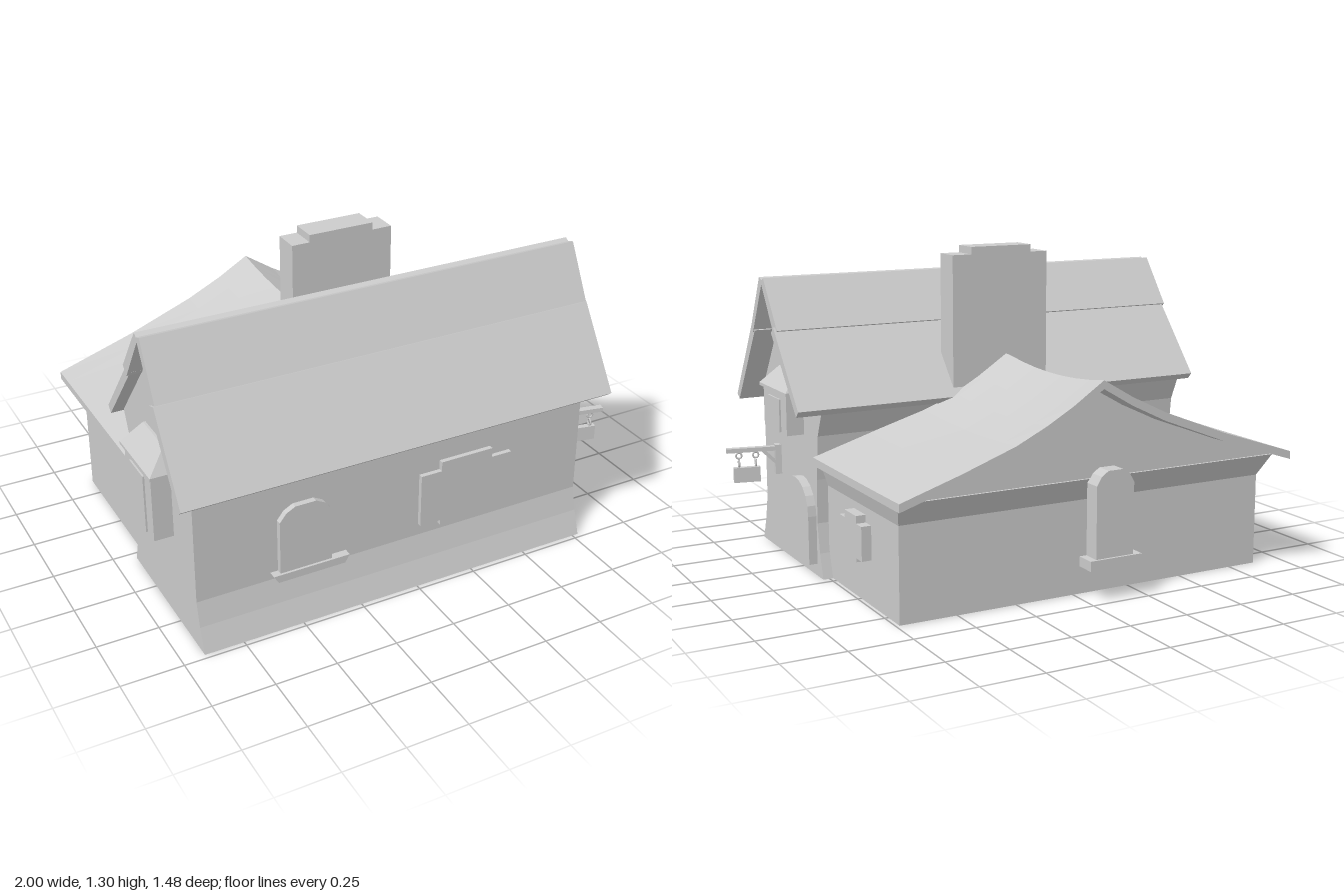
import * as THREE from 'three';
import { ConvexGeometry } from 'three/addons/geometries/ConvexGeometry.js';

export function createModel() {
  const model = new THREE.Group();
  const clay = new THREE.MeshStandardMaterial({ color: 0xcccccc });
  clay.name = 'clay grey';

  const add = (name, geo, parent = model) => {
    const mesh = new THREE.Mesh(geo, clay);
    mesh.name = name;
    parent.add(mesh);
    return mesh;
  };
  const toShape = pts => new THREE.Shape(pts.map(p => new THREE.Vector2(p[0], p[1])));
  const extrude = (shape, depth, steps = 1) =>
    new THREE.ExtrudeGeometry(shape, { depth, steps, bevelEnabled: false });
  // Outline given as [z, y], extruded along x
  const alongX = (pts, x0, x1, hole) => {
    const flip = p => [-p[0], p[1]];
    const shape = toShape(pts.map(flip));
    if (hole) shape.holes.push(toShape(hole.map(flip)));
    return extrude(shape, x1 - x0).rotateY(Math.PI / 2).translate(x0, 0, 0);
  };
  // Outline given as [x, y], extruded along z
  const alongZ = (pts, z0, z1, steps) => extrude(toShape(pts), z1 - z0, steps).translate(0, 0, z0);
  const box = (x0, x1, y0, y1, z0, z1) =>
    new THREE.BoxGeometry(x1 - x0, y1 - y0, z1 - z0)
      .translate((x0 + x1) / 2, (y0 + y1) / 2, (z0 + z1) / 2);
  const hull = pts => new ConvexGeometry(pts.map(p => new THREE.Vector3(...p)));

  // Outline helpers
  const arch = (c, r, y0, top) => {
    const pts = [[c - r, y0], [c + r, y0]];
    for (let i = 0; i <= 10; i++) {
      const a = Math.PI * i / 10;
      pts.push([c + r * Math.cos(a), top - r + r * Math.sin(a)]);
    }
    return pts;
  };
  const lowArch = (c, r, y0, top) => [
    [c - r, y0], [c + r, y0], [c + r, top - 0.055], [c + r * 0.75, top - 0.02], [c + r * 0.4, top],
    [c - r * 0.4, top], [c - r * 0.75, top - 0.02], [c - r, top - 0.055]];
  const cross = (c, w, n, y0, y1, m0, m1) => [
    [c - w, m0], [c - n, m0], [c - n, y0], [c + n, y0], [c + n, m0], [c + w, m0],
    [c + w, m1], [c + n, m1], [c + n, y1], [c - n, y1], [c - n, m1], [c - w, m1]];

  // Main house with flared foot
  add('mainWalls', alongX([
    [0.73, 0], [0.695, 0.1], [0.672, 0.2], [0.67, 0.7], [0.385, 1.16],
    [0.01, 0.69], [0.06, 0.58], [0.08, 0.4], [0.085, 0.22], [0.065, 0.1], [0.035, 0]], -0.91, 0.777));

  // Main roof, two overlapping slabs per slope
  add('frontLowerRoof', alongX([[0.74, 0.65], [0.715, 0.63], [0.49, 0.953], [0.532, 0.967]], -0.978, 0.873));
  add('frontUpperRoof', alongX([[0.527, 0.96], [0.503, 0.945], [0.376, 1.168], [0.41, 1.18]], -0.97, 0.876));
  add('backUpperRoof', alongX([[0.362, 1.18], [0.392, 1.163], [0.25, 0.955], [0.217, 0.985]], -0.97, 0.876));
  add('backLowerRoof', alongX([[0.235, 0.997], [0.262, 0.972], [0.005, 0.675], [-0.018, 0.7]], -0.96, 0.885));

  // Chimney with raised cap
  add('chimney', box(-0.23, 0.204, 0.6, 1.27, 0.01, 0.12));
  add('chimneyCap', box(-0.155, 0.12, 1.26, 1.3, 0.01, 0.12));

  // Rear wing: straight walls, flared cornice, gable
  const wx0 = -0.873, wx1 = 0.735;
  add('wingWalls', box(wx0, wx1, 0, 0.38, -0.6, 0.07));
  const ring = (y, g, z) => [[wx0 - g, y, z], [wx1 + g, y, z], [wx1 + g, y, 0.07], [wx0 - g, y, 0.07]];
  add('wingCornice', hull([...ring(0.375, 0, -0.6), ...ring(0.47, 0.03, -0.66)]));

  // Sagging wing roof and the gable wall that follows it
  const slope = [[0.795, 0.495], [0.55, 0.57], [0.33, 0.645], [0.2, 0.705], [0.09, 0.765], [-0.04, 0.848],
    [-0.17, 0.775], [-0.32, 0.705], [-0.6, 0.6], [-0.93, 0.495]];
  const sag = geo => {
    const p = geo.attributes.position;
    for (let i = 0; i < p.count; i++) {
      const t = (p.getZ(i) + 0.36) / 0.38;
      const h = Math.max(0, (p.getY(i) - 0.48) / 0.36);
      p.setY(i, p.getY(i) + h * (Math.min(t * t, 1) * 0.03 - 0.018));
    }
    geo.computeVertexNormals();
    return geo;
  };
  const under = slope.map(([x, y]) => [x, y - 0.032]);
  add('wingRoof', sag(alongZ([...slope, ...under.slice().reverse()], -0.74, 0.07, 8)));
  const gable = under.map(([x, y]) => [THREE.MathUtils.clamp(x, wx0 - 0.03, wx1 + 0.03), y + 0.01]);
  add('wingGable', sag(alongZ(gable, -0.66, 0.06, 8)));

  // Front windows
  add('frontArchedWindow', alongZ(lowArch(-0.47, 0.108, 0.225, 0.51), 0.65, 0.695));
  add('frontSill', hull([
    [-0.61, 0.232, 0.65], [-0.29, 0.232, 0.65], [-0.61, 0.232, 0.705], [-0.29, 0.232, 0.705],
    [-0.59, 0.2, 0.65], [-0.31, 0.2, 0.65], [-0.59, 0.2, 0.705], [-0.31, 0.2, 0.705]]));
  add('frontCrossWindow', alongZ(cross(0.235, 0.205, 0.115, 0.23, 0.515, 0.25, 0.475), 0.65, 0.69));

  // Rear arched window and sill, hung below the cornice
  add('rearArchedWindow', alongZ(lowArch(-0.108, 0.083, 0.16, 0.51), -0.725, -0.655));
  add('rearSill', box(-0.225, 0.005, 0.13, 0.17, -0.735, -0.655));

  // Wing side window
  add('wingSideWindow', alongX(cross(-0.25, 0.105, 0.055, 0.165, 0.345, 0.18, 0.315), 0.72, 0.775));

  // Bay windows with hoods, one on each gable end
  const bay = (name, side, wall, reach, zc, y0, y1, y2) => {
    const g = new THREE.Group();
    g.name = name;
    model.add(g);
    const span = (a, b) => [Math.min(a * side, b * side), Math.max(a * side, b * side)];
    add('bayBox', box(...span(wall, reach - 0.01), y0, y1, zc - 0.13, zc + 0.13), g);
    const hood = [];
    for (const s of [-1, 1]) {
      for (const y of [y1, y1 + 0.012]) {
        hood.push([side * wall, y, zc + s * 0.152], [side * reach, y, zc + s * 0.152]);
      }
      hood.push([side * wall, y2, zc + s * 0.1], [side * (wall + 0.02), y2, zc + s * 0.1]);
    }
    add('bayHood', hull(hood), g);
    add('bayPane', box(...span(reach - 0.012, reach - 0.003), y0 + 0.005, y1 - 0.025, zc - 0.067, zc + 0.067), g);
  };
  bay('rightBayWindow', 1, 0.77, 0.86, 0.338, 0.56, 0.725, 0.81);
  bay('leftBayWindow', -1, 0.9, 0.998, 0.35, 0.378, 0.65, 0.75);

  // Arched door with surround
  add('doorFrame', alongX(arch(0.232, 0.137, 0.05, 0.385), 0.76, 0.812, arch(0.205, 0.097, 0.055, 0.325)));
  add('door', alongX(arch(0.205, 0.098, 0.054, 0.326), 0.76, 0.782));

  // Hanging sign on a bracket, turned slightly forward
  const sign = new THREE.Group();
  sign.name = 'hangingSign';
  sign.position.set(0.775, 0, 0.495);
  sign.rotation.y = -0.2;
  model.add(sign);
  add('bracketPlate', box(-0.01, 0.025, 0.34, 0.465, -0.018, 0.018), sign);
  add('bracketArm', box(0, 0.226, 0.44, 0.458, -0.014, 0.014), sign);
  add('bracketBrace', new THREE.BoxGeometry(0.085, 0.013, 0.018)
    .rotateZ(Math.PI / 4).translate(0.045, 0.412, 0), sign);
  add('signBoard', box(0.088, 0.198, 0.312, 0.375, -0.012, 0.012), sign);
  for (const x of [0.105, 0.175]) {
    add('signHook', new THREE.TorusGeometry(0.012, 0.004, 6, 10).translate(x, 0.425, 0), sign);
    add('signLink', new THREE.TorusGeometry(0.014, 0.004, 6, 10)
      .rotateY(Math.PI / 2).translate(x, 0.392, 0), sign);
  }

  return model;
}
